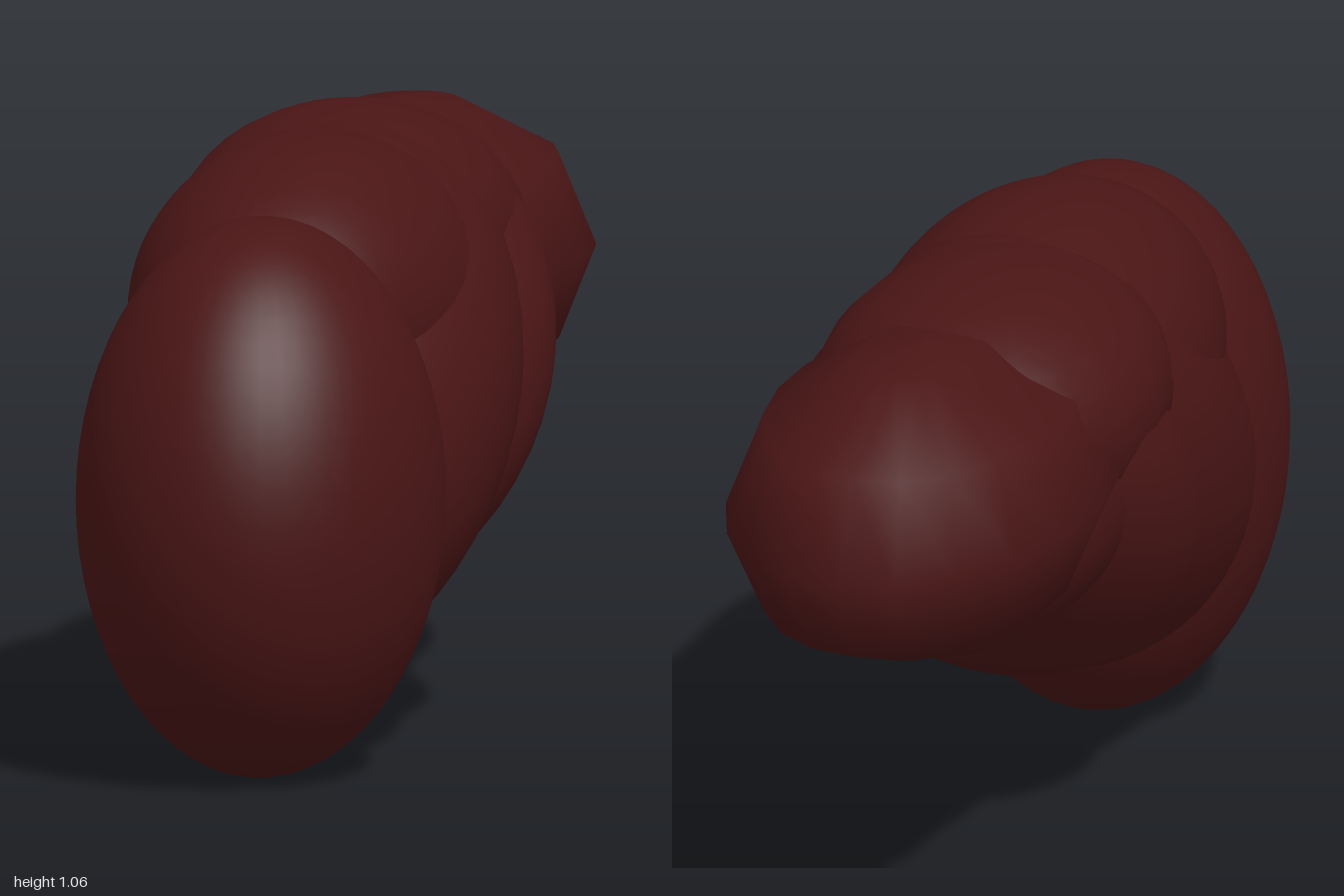
import * as THREE from 'three';

export function createModel() {
  const model = new THREE.Group();
  model.name = 'lumpyBody';
  const material = new THREE.MeshStandardMaterial({ color: 0x4a1515 });

  // Smooth unit ball, and a coarser one turned from a few latitudes
  const smooth = new THREE.SphereGeometry(1, 48, 32);
  const profile = [-90, -72, -36, 0, 36, 72, 90].map((deg) => {
    const a = THREE.MathUtils.degToRad(deg);
    return new THREE.Vector2(Math.max(0, Math.cos(a)), Math.sin(a));
  });
  const coarse = new THREE.LatheGeometry(profile, 20);

  // Ellipsoid lobe: centre, radii and tilt about x in degrees
  function lobe(name, geometry, centre, radii, tilt = 0) {
    const mesh = new THREE.Mesh(geometry, material);
    mesh.name = name;
    mesh.position.set(...centre);
    mesh.scale.set(...radii);
    mesh.rotation.x = THREE.MathUtils.degToRad(tilt);
    model.add(mesh);
  }

  // Large rounded front end
  lobe('frontLobe', smooth, [0, 0.487, 0.62], [0.315, 0.485, 0.38]);
  // Sloping main mass, rising to the back
  lobe('mainLobe', smooth, [0, 0.6, 0.22], [0.35, 0.37, 0.64], 30);
  lobe('middleLobe', smooth, [0, 0.63, -0.06], [0.357, 0.28, 0.49], 45);
  // Humps along the top
  lobe('frontHump', smooth, [-0.01, 0.76, 0.2], [0.3, 0.3, 0.5]);
  lobe('rearHump', new THREE.SphereGeometry(1, 20, 20), [-0.02, 0.82, -0.15], [0.305, 0.245, 0.45]);
  // Tapered back end and the swelling beneath it
  lobe('tailLobe', coarse, [0.005, 0.76, -0.47], [0.32, 0.27, 0.53]);
  lobe('tailUnderside', smooth, [0, 0.7, -0.26], [0.3, 0.27, 0.49]);

  return model;
}
